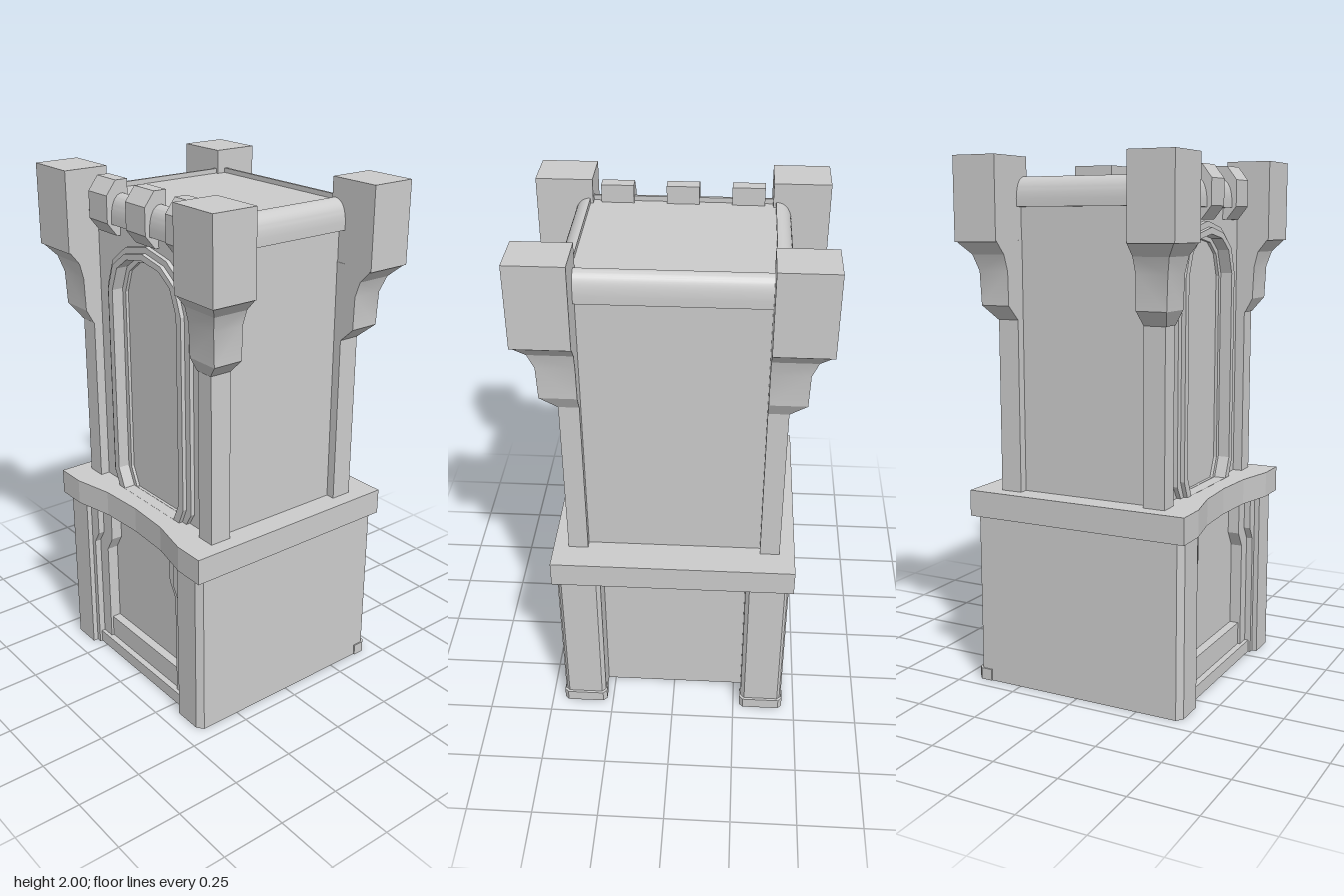
import * as THREE from 'three';
import { toCreasedNormals } from 'three/addons/utils/BufferGeometryUtils.js';

const grey = new THREE.MeshStandardMaterial({ color: 0xcccccc, side: THREE.DoubleSide });

const shapeOf = (pts) => new THREE.Shape(pts.map(([x, y]) => new THREE.Vector2(x, y)));
const mirrored = (half) => [...half, ...half.filter(([x]) => x !== 0).reverse().map(([x, y]) => [-x, y])];

export function createModel() {
  const model = new THREE.Group();
  const add = (name, geometry) => {
    const mesh = new THREE.Mesh(geometry, grey);
    mesh.name = name;
    model.add(mesh);
    return mesh;
  };
  // Box given by its two opposite corners
  const box = (name, x0, x1, y0, y1, z0, z1) =>
    add(name, new THREE.BoxGeometry(Math.abs(x1 - x0), y1 - y0, Math.abs(z1 - z0))
      .translate((x0 + x1) / 2, (y0 + y1) / 2, (z0 + z1) / 2));
  const extrude = (shape, depth) => new THREE.ExtrudeGeometry(shape, { depth, bevelEnabled: false });
  // Plan outline (x, z) raised from y0 to y1
  const raise = (name, pts, y0, y1) =>
    add(name, extrude(shapeOf(pts), y1 - y0).rotateX(Math.PI / 2).translate(0, y1, 0));
  // Front outline (x, y) between z0 and z1, with an optional hole
  const slab = (name, pts, z0, z1, hole) => {
    const s = shapeOf(pts);
    if (hole) s.holes.push(shapeOf(hole));
    return add(name, extrude(s, z1 - z0).translate(0, 0, z0));
  };
  // Profile (outward, y) run along a wall; angle turns it to face that wall's direction
  const moulding = (name, shape, length, angle, along = 0) =>
    add(name, toCreasedNormals(extrude(shape, length).translate(0, 0, -length / 2)
      .rotateY(angle).translate(along, 0, 0), 0.5));

  // ---- Lower storey: open-bottomed shell ----
  for (const s of [1, -1]) {
    box('lowerSideWall', s * 0.41, s * 0.445, 0, 0.66, -0.42, 0.41);
    raise('frontPost', [[s * 0.31, 0.34], [s * 0.31, 0.43], [s * 0.42, 0.43], [s * 0.445, 0.41], [s * 0.445, 0.34]], 0, 0.66);
    raise('backPost', [[s * 0.28, -0.3], [s * 0.28, -0.415], [s * 0.295, -0.43], [s * 0.43, -0.43], [s * 0.445, -0.415], [s * 0.445, -0.3]], 0, 0.66);
    raise('backFoot', [[s * 0.275, -0.38], [s * 0.275, -0.425], [s * 0.29, -0.44], [s * 0.435, -0.44], [s * 0.45, -0.425], [s * 0.45, -0.38]], 0, 0.045);
    // Stepped frame that widens near the top
    slab('outerFrame', [[s * 0.31, 0], [s * 0.31, 0.66], [s * 0.26, 0.66], [s * 0.26, 0.54], [s * 0.29, 0.49], [s * 0.29, 0]], 0.34, 0.41);
    slab('innerFrame', [[s * 0.3, 0.05], [s * 0.3, 0.66], [s * 0.2, 0.66], [s * 0.2, 0.53], [s * 0.235, 0.47], [s * 0.235, 0.05]], 0.34, 0.385);
  }
  box('lowerFrontPanel', -0.42, 0.42, 0.05, 0.66, 0.33, 0.34);
  box('lowerBackPanel', -0.42, 0.42, 0, 0.66, -0.31, -0.3);
  box('sill', -0.29, 0.29, 0.045, 0.14, 0.34, 0.375);
  box('bottomRail', -0.31, 0.31, 0, 0.05, 0.34, 0.4);

  // ---- Ledge with a bowed-in front ----
  raise('ledge', [[-0.463, -0.45], [0.463, -0.45], [0.463, 0.445], [0.34, 0.445],
    [0.18, 0.41], [0, 0.4], [-0.18, 0.41], [-0.34, 0.445], [-0.463, 0.445]], 0.66, 0.76);

  // ---- Upper storey ----
  box('upperBody', -0.37, 0.37, 0.76, 1.91, -0.31, 0.28);
  const arch = mirrored([[0.165, 0.762], [0.2, 0.84], [0.2, 1.57], [0.165, 1.66], [0.1, 1.705], [0, 1.722]]);
  const archInner = mirrored([[0.145, 0.763], [0.18, 0.84], [0.18, 1.56], [0.15, 1.645], [0.09, 1.69], [0, 1.705]]);
  const archOuter = mirrored([[0.225, 0.761], [0.255, 0.81], [0.255, 1.57], [0.215, 1.68], [0.125, 1.745], [0, 1.77]]);
  const archMid = mirrored([[0.2, 0.7615], [0.228, 0.825], [0.228, 1.57], [0.193, 1.668], [0.112, 1.725], [0, 1.747]]);
  slab('upperFrontPanel', [[-0.33, 0.76], [0.33, 0.76], [0.33, 1.91], [-0.33, 1.91]], 0.275, 0.305, arch);
  slab('archFrame', archOuter, 0.28, 0.322, arch);
  slab('archFrameRidge', archMid, 0.28, 0.338, arch);
  slab('archLip', arch, 0.28, 0.292, archInner);

  // Corner posts, flared corbels and turret blocks
  const levels = [[1.41, 0.405, 0.345], [1.465, 0.465, 0.375], [1.59, 0.468, 0.38], [1.65, 0.49, 0.395], [1.7, 0.538, 0.435]];
  for (const sx of [1, -1]) for (const sz of [1, -1]) {
    box('cornerPost', sx * 0.33, sx * 0.405, 0.76, 1.7, sz * 0.258, sz * 0.342);
    box('turret', sx * 0.33, sx * 0.538, 1.695, 2, sz * 0.26, sz * 0.437);
    const pos = [], index = [];
    for (const [y, ox, oz] of levels)
      for (const [x, z] of [[0.33, 0.258], [0.33, oz], [ox, oz], [ox, 0.258]]) pos.push(sx * x, y, sz * z);
    for (let l = 0; l < levels.length - 1; l++) for (let k = 0; k < 4; k++) {
      const a = l * 4 + k, b = l * 4 + (k + 1) % 4;
      index.push(...(sx * sz > 0 ? [a, b, b + 4, a, b + 4, a + 4] : [a, b + 4, b, a, a + 4, b + 4]));
    }
    const g = new THREE.BufferGeometry();
    g.setAttribute('position', new THREE.Float32BufferAttribute(pos, 3));
    g.setIndex(index);
    add('corbel', toCreasedNormals(g, 0.35));
  }

  // Quarter-round mouldings along the four roof edges
  const roll = (inner, outer) => {
    const s = new THREE.Shape();
    s.moveTo(inner - 0.03, 1.82);
    s.lineTo(outer, 1.82);
    s.lineTo(outer, 1.85);
    s.quadraticCurveTo(outer - 0.005, 1.92, inner + 0.01, 1.928);
    s.lineTo(inner, 1.928);
    s.lineTo(inner, 1.9);
    s.lineTo(inner - 0.03, 1.9);
    return s;
  };
  moulding('sideRoll', roll(0.34, 0.4), 0.54, 0);
  moulding('sideRoll', roll(0.34, 0.4), 0.54, Math.PI);
  moulding('frontRoll', roll(0.29, 0.342), 0.68, -Math.PI / 2);
  moulding('backRoll', roll(0.295, 0.345), 0.68, Math.PI / 2);

  // Chamfered blocks clasping the front edge
  const block = shapeOf([[0.27, 1.775], [0.32, 1.775], [0.36, 1.825], [0.36, 1.925], [0.32, 1.977], [0.27, 1.977]]);
  for (const x of [-0.24, 0, 0.24]) moulding('merlon', block, 0.12, -Math.PI / 2, x);

  return model;
}
